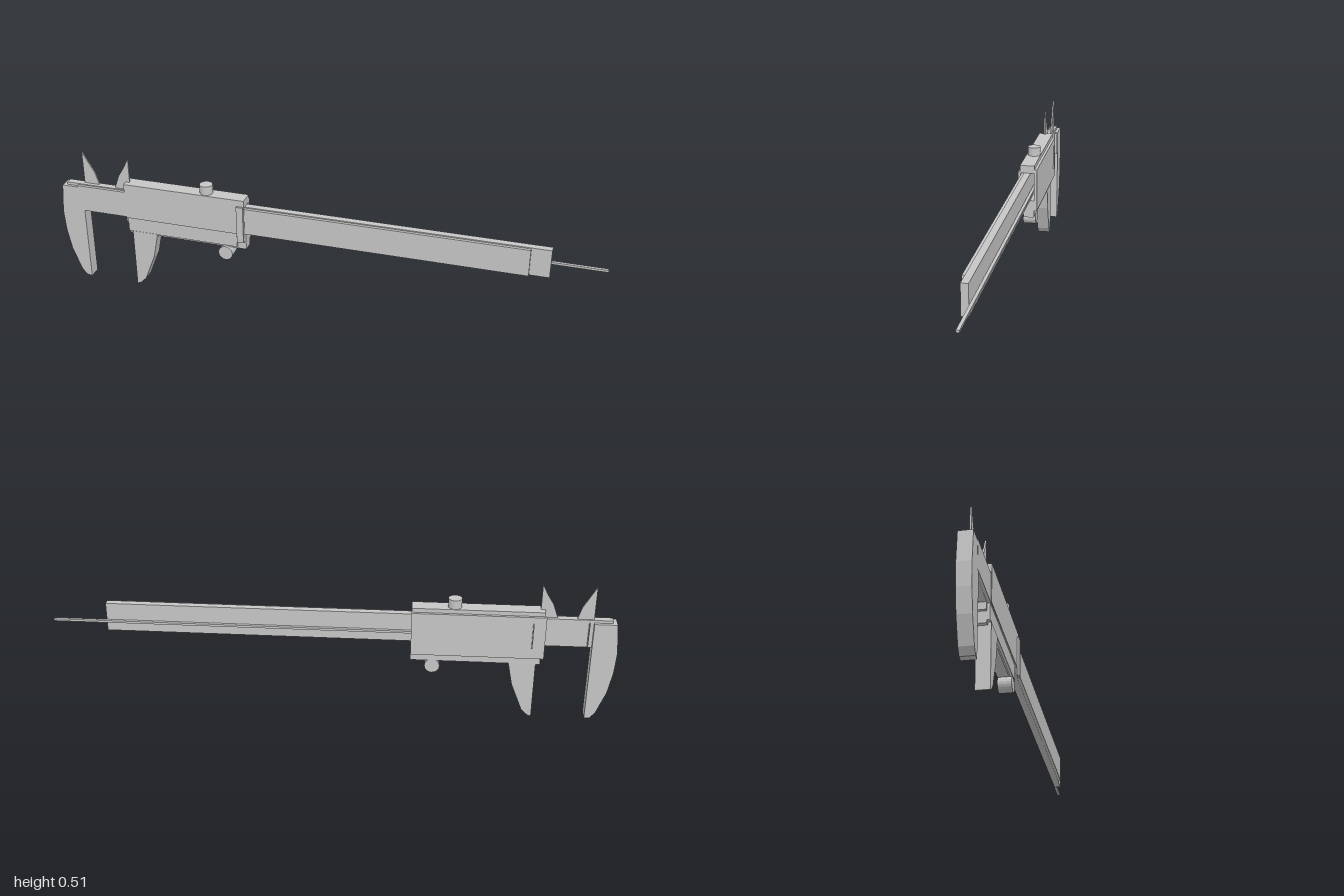
import * as THREE from 'three';

const steel = new THREE.MeshStandardMaterial({ color: 0xc6c6c6 });
steel.name = 'steel grey';

export function createModel() {
  const root = new THREE.Group();
  root.name = 'slidingCaliper';

  function add(parent, name, geometry) {
    const mesh = new THREE.Mesh(geometry, steel);
    mesh.name = name;
    parent.add(mesh);
    return mesh;
  }

  // Block given by its limits on each axis
  function block(parent, name, [x0, x1], [y0, y1], [z0, z1]) {
    const g = new THREE.BoxGeometry(x1 - x0, y1 - y0, z1 - z0);
    g.translate((x0 + x1) / 2, (y0 + y1) / 2, (z0 + z1) / 2);
    return add(parent, name, g);
  }

  // Flat outline extruded between two depths
  function plate(parent, name, points, z0, z1) {
    const shape = new THREE.Shape(points.map(([x, y]) => new THREE.Vector2(x, y)));
    const g = new THREE.ExtrudeGeometry(shape, { depth: z1 - z0, bevelEnabled: false });
    g.translate(0, 0, z0);
    return add(parent, name, g);
  }

  // Fixed half: beam, jaws
  const beam = new THREE.Group();
  beam.name = 'beamAssembly';
  root.add(beam);
  block(beam, 'beamCore', [-0.975, 0.81], [0.284, 0.39], [-0.008, 0.017]);
  block(beam, 'scalePlate', [-0.93, 0.74], [0.285, 0.386], [0.017, 0.028]);
  plate(beam, 'fixedJaw', [
    [-0.91, 0], [-0.91, 0.38], [-0.99, 0.38], [-1, 0.27], [-0.995, 0.19],
    [-0.98, 0.11], [-0.948, 0.025], [-0.93, 0.003],
  ], -0.02, 0.0275);
  plate(beam, 'fixedInsideJaw', [
    [-0.91, 0.385], [-0.85, 0.385], [-0.865, 0.435], [-0.885, 0.47], [-0.91, 0.515],
  ], -0.003, 0.003);
  block(beam, 'jawRib', [-0.896, -0.893], [0.29, 0.38], [-0.02, -0.008]);

  // Sliding half: open channel around the beam
  const slider = new THREE.Group();
  slider.name = 'sliderAssembly';
  root.add(slider);
  block(slider, 'sliderTop', [-0.74, -0.278], [0.391, 0.42], [-0.023, 0.031]);
  block(slider, 'sliderFront', [-0.74, -0.278], [0.283, 0.42], [0.029, 0.0315]);
  block(slider, 'sliderBack', [-0.745, -0.278], [0.243, 0.405], [-0.033, -0.022]);
  block(slider, 'sliderLower', [-0.735, -0.31], [0.226, 0.283], [-0.022, 0.0265]);
  block(slider, 'sliderFoot', [-0.735, -0.278], [0.216, 0.283], [-0.022, 0.017]);
  block(slider, 'sliderEndLip', [-0.745, -0.735], [0.257, 0.283], [-0.022, 0.017]);
  block(slider, 'frontClamp', [-0.305, -0.28], [0.253, 0.396], [0.031, 0.039]);
  block(slider, 'backRib', [-0.703, -0.699], [0.285, 0.38], [-0.038, -0.033]);
  plate(slider, 'movingJaw', [
    [-0.72, 0], [-0.708, 0.003], [-0.683, 0.028], [-0.642, 0.13],
    [-0.622, 0.228], [-0.72, 0.228],
  ], -0.02, 0.0275);
  plate(slider, 'movingInsideJaw', [
    [-0.785, 0.39], [-0.725, 0.39], [-0.725, 0.515], [-0.745, 0.475], [-0.767, 0.44],
  ], 0.004, 0.01);

  // Depth rod along the back of the beam
  block(slider, 'depthRod', [-0.70, 1], [0.321, 0.329], [-0.023, -0.012]);

  // Locking screw on top and faceted thumb roller below
  add(slider, 'lockScrew', new THREE.CylinderGeometry(0.024, 0.024, 0.034, 32))
    .position.set(-0.428, 0.436, 0.003);
  const facets = new THREE.CylinderGeometry(0.027, 0.027, 0.048, 20).toNonIndexed();
  facets.computeVertexNormals();
  const roller = add(slider, 'thumbRoller', facets);
  roller.rotation.x = Math.PI / 2;
  roller.position.set(-0.356, 0.193, 0.004);

  return root;
}
